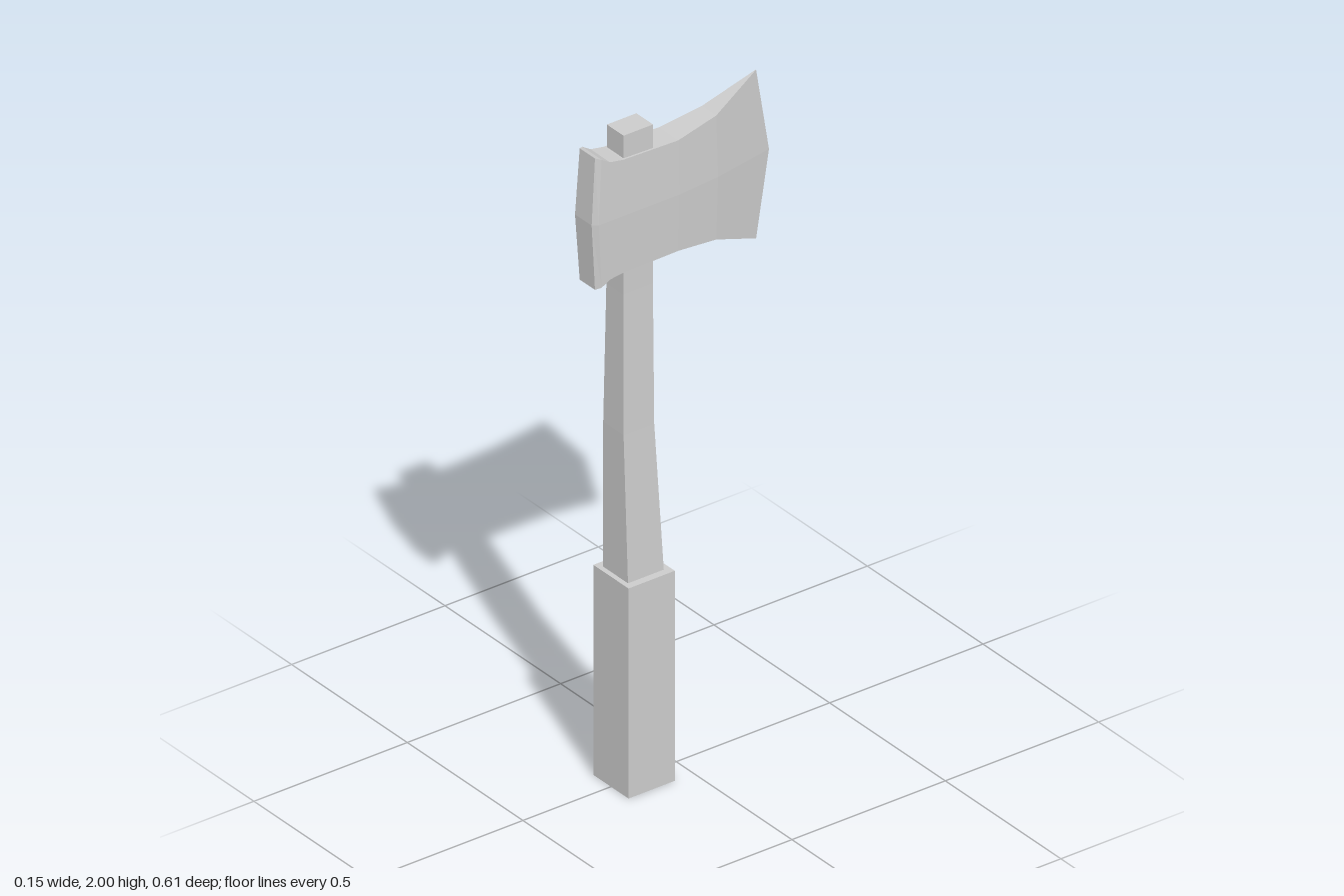
import * as THREE from 'three';

const material = new THREE.MeshStandardMaterial({ color: 0xcccccc, flatShading: true });

// Skin a closed solid over rings of equal point count, each mirrored left to right
function loft(name, rings) {
  const n = rings[0].length;
  const positions = [];
  const quad = (a, b, c, d) => positions.push(...a, ...b, ...c, ...a, ...c, ...d);
  for (let r = 0; r < rings.length - 1; r++) {
    const a = rings[r], b = rings[r + 1];
    for (let i = 0; i < n; i++) {
      const j = (i + 1) % n;
      quad(a[i], a[j], b[j], b[i]);
    }
  }
  // End caps, as strips across the ring
  const first = rings[0], last = rings[rings.length - 1];
  for (let k = 0; k < n / 2 - 1; k++) {
    quad(last[k], last[k + 1], last[n - 2 - k], last[n - 1 - k]);
    quad(first[n - 1 - k], first[n - 2 - k], first[k + 1], first[k]);
  }
  const geometry = new THREE.BufferGeometry();
  geometry.setAttribute('position', new THREE.Float32BufferAttribute(positions, 3));
  geometry.computeVertexNormals();
  const mesh = new THREE.Mesh(geometry, material);
  mesh.name = name;
  return mesh;
}

export function createModel() {
  const model = new THREE.Group();
  model.name = 'axe';

  // Square grip
  const grip = new THREE.Mesh(new THREE.BoxGeometry(0.152, 0.635, 0.151), material);
  grip.name = 'grip';
  grip.position.set(0, 0.3175, 0.1375);
  model.add(grip);

  // Tapered, slightly bent shaft: [y, half width, back z, front z]
  const shaft = [
    [0.63, 0.054, 0.081, 0.198],
    [1.08, 0.044, 0.105, 0.205],
    [1.5, 0.037, 0.104, 0.2],
    [1.98, 0.036, 0.103, 0.199],
  ];
  model.add(loft('shaft', shaft.map(([y, w, back, front]) => [
    [w, y, front], [w, y, back], [-w, y, back], [-w, y, front],
  ])));

  // Head from cutting edge to poll:
  // [corner z, middle z, bottom y, top y, corner half width, middle half width]
  const head = [
    [-0.26, -0.302, 1.49, 2.0, 0.0005, 0.0005],
    [-0.107, -0.11, 1.555, 1.93, 0.031, 0.035],
    [0.025, 0.025, 1.573, 1.907, 0.042, 0.047],
    [0.205, 0.205, 1.57, 1.912, 0.042, 0.047],
    [0.248, 0.25, 1.565, 1.92, 0.042, 0.047],
    [0.275, 0.288, 1.55, 1.937, 0.042, 0.047],
    [0.29, 0.303, 1.545, 1.942, 0.033, 0.036],
  ];
  const midY = 1.745;
  model.add(loft('head', head.map(([z, zm, bottom, top, w, wm]) => [
    [w, bottom, z], [wm, midY, zm], [w, top, z],
    [-w, top, z], [-wm, midY, zm], [-w, bottom, z],
  ])));

  return model;
}
